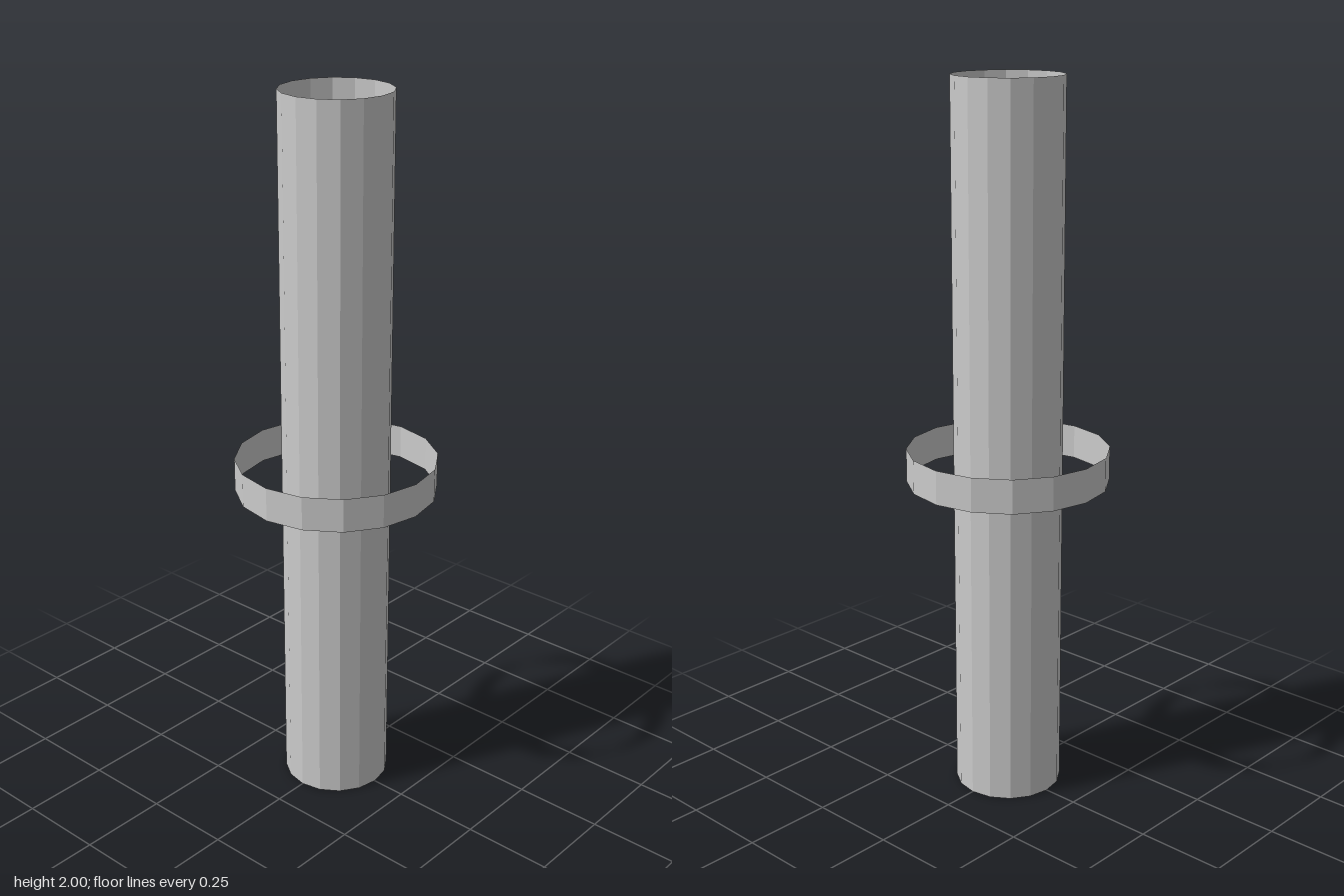
import * as THREE from 'three';

export function createModel() {
  const group = new THREE.Group();
  const material = new THREE.MeshStandardMaterial({
    color: 0xcccccc, flatShading: true, side: THREE.DoubleSide,
  });

  // Open-ended, sixteen-sided thin wall
  const addTube = (name, radius, bottom, top) => {
    const geometry = new THREE.CylinderGeometry(radius, radius, top - bottom, 16, 1, true);
    const mesh = new THREE.Mesh(geometry, material);
    mesh.name = name;
    mesh.position.y = (bottom + top) / 2;
    group.add(mesh);
  };

  addTube('pipe', 0.15, 0, 2);
  // Loose band floating around the middle of the pipe
  addTube('ring', 0.28, 0.905, 1.0);

  return group;
}
